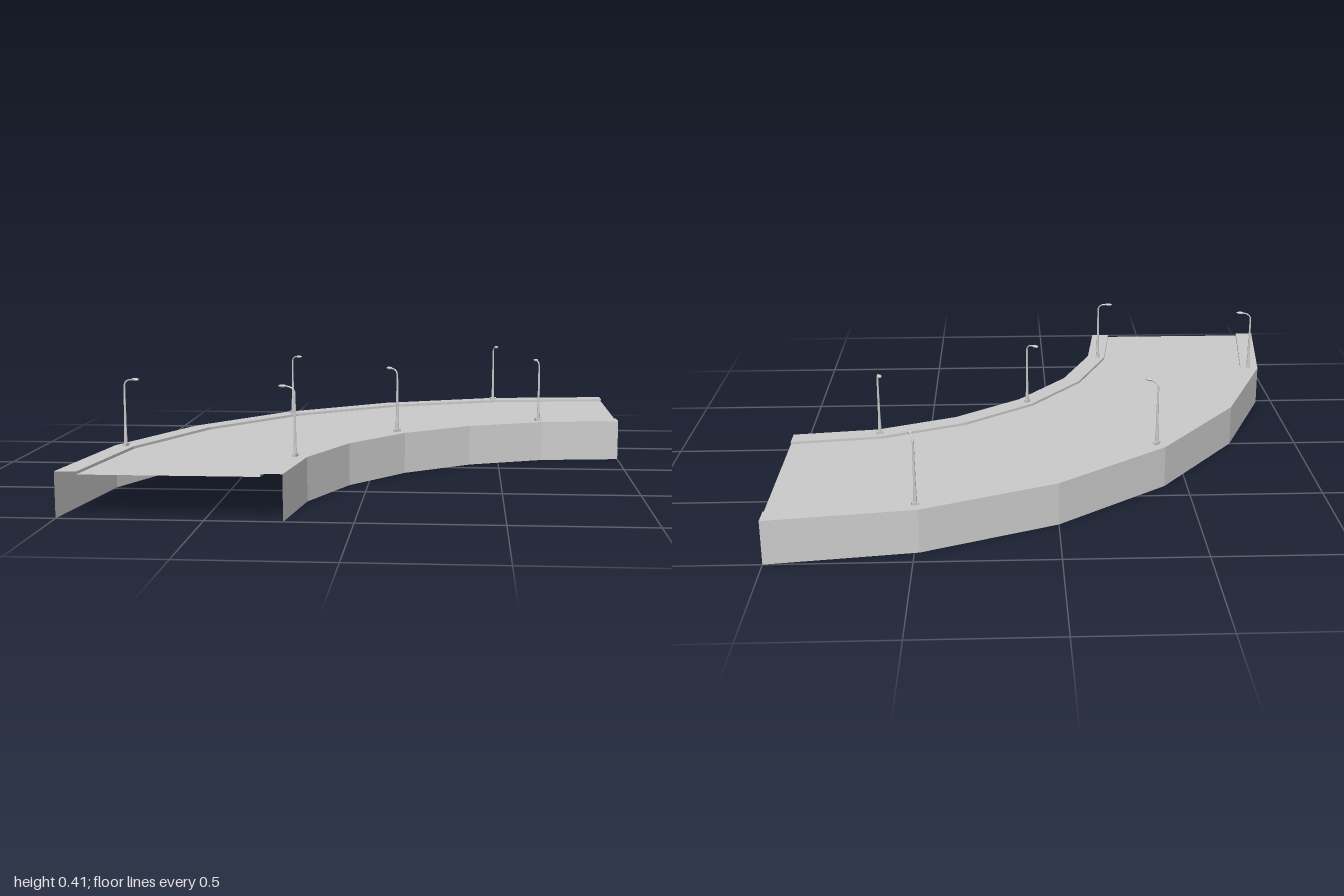
import * as THREE from 'three';

const mat = new THREE.MeshStandardMaterial({ color: 0xcccccc, flatShading: true, side: THREE.DoubleSide });
const SEGMENTS = 6;
const TOP = 0.16, ROAD = 0.15;

// Point on the bend: radius r about the corner (1, 1), step i of six
function bendPoint(r, y, i) {
  const a = (i / SEGMENTS) * Math.PI / 2;
  return [1 - r * Math.cos(a), y, 1 - r * Math.sin(a)];
}

// Faceted strip swept round the bend between two [radius, height] section points
function strip(name, from, to) {
  const pos = [], idx = [];
  for (let i = 0; i <= SEGMENTS; i++) {
    pos.push(...bendPoint(from[0], from[1], i), ...bendPoint(to[0], to[1], i));
    if (i < SEGMENTS) {
      const k = i * 2;
      idx.push(k, k + 1, k + 2, k + 1, k + 3, k + 2);
    }
  }
  const geo = new THREE.BufferGeometry();
  geo.setAttribute('position', new THREE.Float32BufferAttribute(pos, 3));
  geo.setIndex(idx);
  const flat = geo.toNonIndexed();
  flat.computeVertexNormals();
  const mesh = new THREE.Mesh(flat, mat);
  mesh.name = name;
  return mesh;
}

// Street lamp with its arm reaching along +x
function streetLamp() {
  const lamp = new THREE.Group();
  lamp.name = 'streetLamp';
  const add = (name, geo, x, y) => {
    const mesh = new THREE.Mesh(geo, mat);
    mesh.name = name;
    mesh.position.set(x, y, 0);
    lamp.add(mesh);
    return mesh;
  };
  add('lampBase', new THREE.BoxGeometry(0.014, 0.025, 0.026), 0, 0.1575);
  add('lampLowerPole', new THREE.CylinderGeometry(0.005, 0.007, 0.06, 8), 0, 0.195);
  add('lampPole', new THREE.CylinderGeometry(0.0035, 0.005, 0.17, 8), 0, 0.305);
  const curve = new THREE.CatmullRomCurve3([
    new THREE.Vector3(0, 0.385, 0),
    new THREE.Vector3(0.005, 0.398, 0),
    new THREE.Vector3(0.018, 0.406, 0),
    new THREE.Vector3(0.04, 0.409, 0),
  ]);
  add('lampArm', new THREE.TubeGeometry(curve, 8, 0.003, 6), 0, 0);
  add('lampHead', new THREE.SphereGeometry(1, 10, 6), 0.046, 0.409).scale.set(0.016, 0.0055, 0.009);
  return lamp;
}

export function createModel() {
  const group = new THREE.Group();
  group.name = 'curvedRoad';

  // Road deck, kerbs, sidewalks and side walls
  group.add(
    strip('outerWall', [2, 0], [2, TOP]),
    strip('outerSidewalk', [2, TOP], [1.925, TOP]),
    strip('outerKerb', [1.925, TOP], [1.925, ROAD]),
    strip('roadSurface', [1.925, ROAD], [1.31, ROAD]),
    strip('innerKerb', [1.31, ROAD], [1.31, TOP]),
    strip('innerSidewalk', [1.31, TOP], [1.235, TOP]),
    strip('innerWall', [1.235, TOP], [1.235, 0]),
  );

  // Lamps on both sidewalks, arms over the road
  for (const [r, inward] of [[1.957, true], [1.28, false]]) {
    for (const i of [1, 3, 5]) {
      const lamp = streetLamp();
      lamp.position.set(...bendPoint(r, 0, i));
      lamp.rotation.y = -(i / SEGMENTS) * Math.PI / 2 + (inward ? 0 : Math.PI);
      group.add(lamp);
    }
  }
  return group;
}
